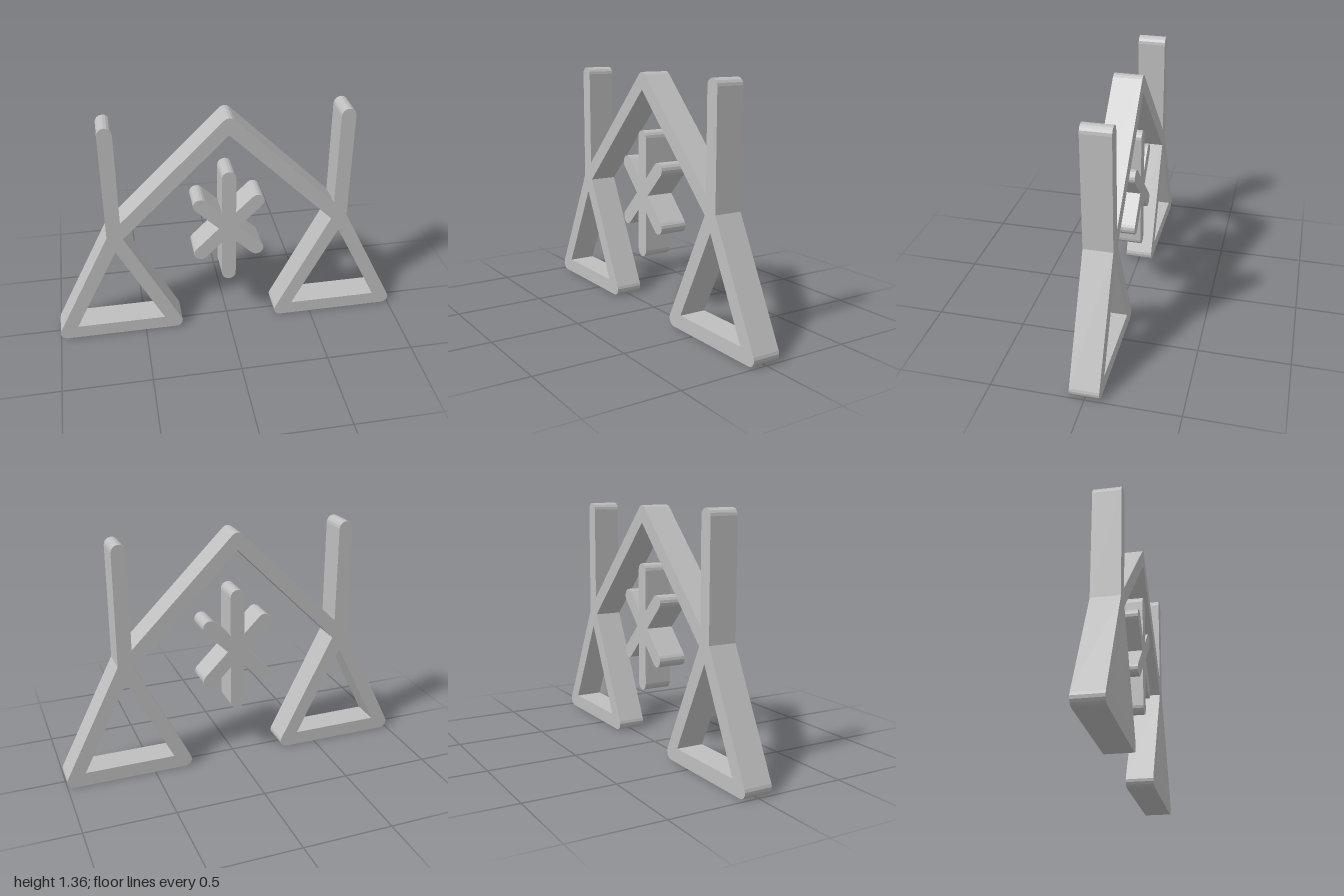
import * as THREE from 'three';

const R = 0.04;      // half the bar width
const DEPTH = 0.158; // front-to-back thickness

// Walks a closed route of bar centre lines and returns its right-hand edge:
// rounded at tips and outer corners, mitred at inner corners.
function edge(route) {
  const pts = route.map(([x, y]) => new THREE.Vector2(x, y));
  const out = [];
  pts.forEach((c, i) => {
    const d1 = c.clone().sub(pts.at(i - 1)).normalize();
    const d2 = pts[(i + 1) % pts.length].clone().sub(c).normalize();
    let turn = Math.atan2(d1.cross(d2), d1.dot(d2));
    if (turn < -3.1) turn = Math.PI;
    const n1 = new THREE.Vector2(d1.y, -d1.x);
    const n2 = new THREE.Vector2(d2.y, -d2.x);
    if (turn > 0) {
      const steps = Math.max(2, Math.round(turn / (Math.PI / 8)));
      const start = Math.atan2(n1.y, n1.x);
      for (let k = 0; k <= steps; k++) {
        const a = start + turn * k / steps;
        out.push(new THREE.Vector2(c.x + R * Math.cos(a), c.y + R * Math.sin(a)));
      }
    } else {
      out.push(n1.clone().add(n2).multiplyScalar(R / (1 + n1.dot(n2))).add(c));
    }
  });
  return out;
}

function slab(name, material, outline, holes = []) {
  const shape = new THREE.Shape(edge(outline));
  holes.forEach((h) => shape.holes.push(new THREE.Path(edge(h))));
  const geometry = new THREE.ExtrudeGeometry(shape, { depth: DEPTH, bevelEnabled: false });
  geometry.translate(0, 0, -DEPTH / 2);
  const mesh = new THREE.Mesh(geometry, material);
  mesh.name = name;
  return mesh;
}

export function createModel() {
  const grey = new THREE.MeshStandardMaterial({ color: 0xbfbfbf });
  grey.name = 'light grey';

  const group = new THREE.Group();
  group.name = 'roofEmblem';

  // Joints of the frame, left (+x) and right (-x)
  const apex = [0, 1.32];
  const side = (s) => ({
    outer: [s * 0.96, 0.04],
    inner: [s * 0.32, 0.04],
    joint: [s * 0.64, 0.68],
    post: [s * 0.64, 1.32],
  });
  const L = side(1), M = side(-1);

  // Gable, two posts and two triangular legs as one continuous frame
  group.add(slab('frame', grey,
    [L.outer, L.joint, L.post, L.joint, apex, M.joint, M.post, M.joint,
      M.outer, M.inner, M.joint, apex, L.joint, L.inner],
    [[L.outer, L.inner, L.joint], [M.inner, M.outer, M.joint]]));

  // Six-armed star hanging free in the middle
  const centre = [0, 0.68];
  const arms = [[0.16, 0.16], [0, 0.32], [-0.16, 0.16], [-0.16, -0.16], [0, -0.32], [0.16, -0.16]];
  group.add(slab('star', grey, arms.flatMap(([x, y]) => [[x, centre[1] + y], centre])));

  return group;
}
